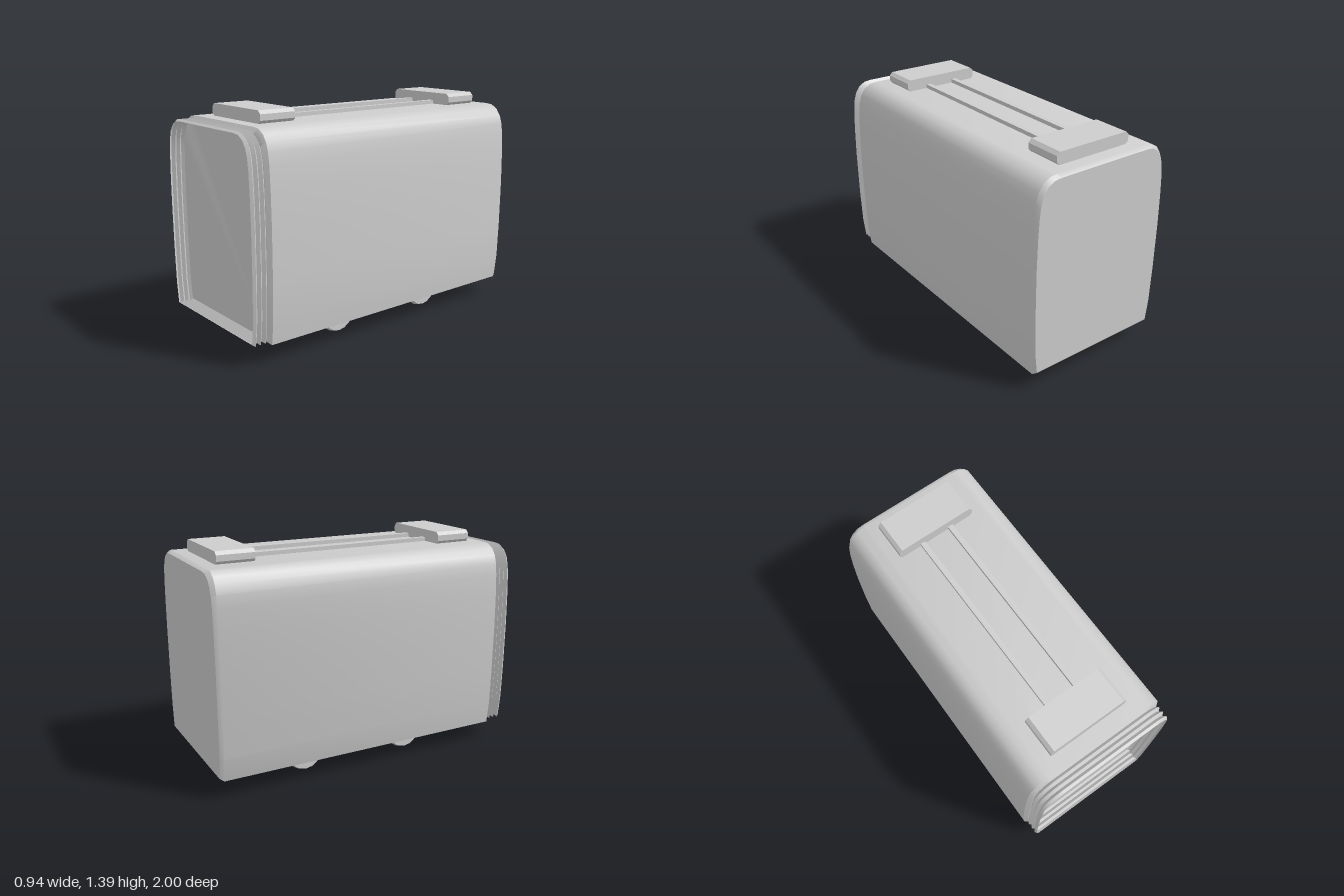
import * as THREE from 'three';
import { toCreasedNormals } from 'three/addons/utils/BufferGeometryUtils.js';

const MID_Y = 0.72, HALF_W = 0.472, HALF_H = 0.6;

// Right half of the carriage cross-section, bottom to top
const HALF = [
  [0.447, 0.12], [0.463, 0.26], [0.47, 0.5], [0.472, 0.8], [0.468, 1.0], [0.461, 1.13],
  [0.452, 1.2], [0.436, 1.25], [0.408, 1.29], [0.365, 1.315], [0.32, 1.32],
];
const SECTION = [...HALF, ...HALF.slice().reverse().map(([x, y]) => [-x, y])];

// Skin a row of [z, inset] stations, optionally closing both ends
function loft(stations, capped) {
  const n = SECTION.length, pos = [], idx = [];
  for (const [z, inset] of stations) {
    for (const [x, y] of SECTION) {
      pos.push(x * (1 - inset / HALF_W), MID_Y + (y - MID_Y) * (1 - inset / HALF_H), z);
    }
  }
  for (let k = 0; k < stations.length - 1; k++) {
    for (let i = 0; i < n; i++) {
      const a = k * n + i, b = k * n + (i + 1) % n;
      idx.push(a, b, b + n, a, b + n, a + n);
    }
  }
  if (capped) {
    const last = (stations.length - 1) * n;
    for (let i = 1; i < n - 1; i++) {
      idx.push(0, i + 1, i, last, last + i, last + i + 1);
    }
  }
  const g = new THREE.BufferGeometry();
  g.setAttribute('position', new THREE.Float32BufferAttribute(pos, 3));
  g.setIndex(idx);
  return toCreasedNormals(g, 0.6);
}

export function createModel() {
  const group = new THREE.Group();
  const grey = new THREE.MeshStandardMaterial({ color: 0xcccccc, side: THREE.DoubleSide });
  grey.name = 'light grey';

  const add = (name, geometry, x = 0, y = 0, z = 0) => {
    const mesh = new THREE.Mesh(geometry, grey);
    mesh.name = name;
    mesh.position.set(x, y, z);
    group.add(mesh);
    return mesh;
  };

  // Carriage shell with bevelled ends
  add('carriageBody', loft([[-1, 0.016], [-0.975, 0], [0.885, 0], [0.905, 0.024]], true));

  // Open pleated gangway around the front end
  const pleats = [];
  for (let i = 0; i <= 6; i++) pleats.push([0.904 + i * 0.016, i % 2 ? 0.013 : 0.03]);
  pleats[6] = [1, 0.024];
  add('gangwayBellows', loft(pleats, false));

  // Roof boxes with chamfered ends
  const w = 0.257, c = 0.02, y0 = 1.318, y1 = 1.394;
  const outline = new THREE.Shape([
    [-w + c, y0], [w - c, y0], [w, y0 + c], [w, y1 - c],
    [w - c, y1], [-w + c, y1], [-w, y1 - c], [-w, y0 + c],
  ].map(([x, y]) => new THREE.Vector2(x, y)));
  for (const z of [0.57, -0.9]) {
    add('roofBox', new THREE.ExtrudeGeometry(outline, { depth: 0.232, bevelEnabled: false }), 0, 0, z);
  }

  // Twin conduits between the roof boxes
  for (const s of [-1, 1]) {
    add('roofConduit', new THREE.BoxGeometry(0.032, 0.03, 1.26), s * 0.098, 1.329, -0.05);
  }

  // Underfloor plate
  add('underPlate', new THREE.BoxGeometry(0.71, 0.012, 0.94), 0, 0.119, -0.05);

  // Wheels: outer rim, wider flange and inner face, turned around the axle
  const wheelProfile = [[0, -0.026], [0.106, -0.026], [0.117, 0.006], [0.112, 0.018], [0.085, 0.025], [0, 0.025]]
    .map(([r, y]) => new THREE.Vector2(r, y));
  const wheelGeo = toCreasedNormals(new THREE.LatheGeometry(wheelProfile, 16), 0.5);
  for (const z of [0.31, -0.405]) {
    for (const s of [-1, 1]) {
      add('wheel', wheelGeo, s * 0.298, 0.122, z).rotation.z = s * Math.PI / 2;
    }
    const axle = new THREE.CylinderGeometry(0.011, 0.011, 0.56, 8);
    add('axle', axle, 0, 0.116, z).rotation.z = Math.PI / 2;
  }

  return group;
}
